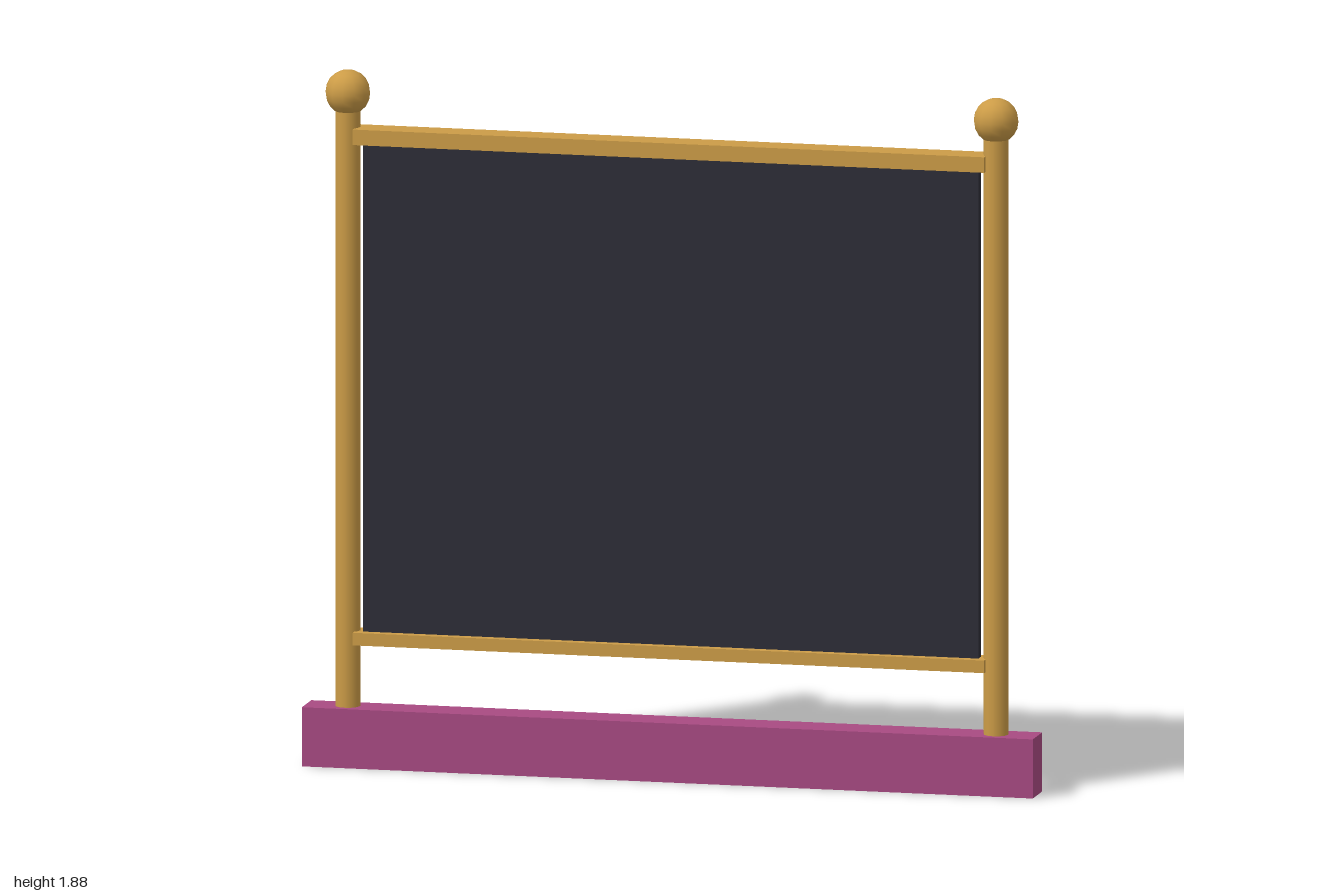
import * as THREE from 'three';

const mat = (name, color) => {
  const m = new THREE.MeshStandardMaterial({ color });
  m.name = name;
  return m;
};

export function createModel() {
  const model = new THREE.Group();
  model.name = 'standingBoard';
  const wood = mat('golden wood', 0xcc9c47);
  const plum = mat('plum', 0xa84a82);
  const slate = mat('dark slate', 0x2d2d37);

  const add = (name, geometry, material, x, y) => {
    const mesh = new THREE.Mesh(geometry, material);
    mesh.name = name;
    mesh.position.set(x, y, 0);
    model.add(mesh);
  };

  // Base plinth
  add('base', new THREE.BoxGeometry(2, 0.16, 0.106), plum, 0, 0.08);

  // Writing panel and the rails that hold it
  add('panel', new THREE.BoxGeometry(1.684, 1.34, 0.03), slate, 0, 1.025);
  add('topRail', new THREE.BoxGeometry(1.728, 0.042, 0.08), wood, 0, 1.706);
  add('bottomRail', new THREE.BoxGeometry(1.728, 0.034, 0.08), wood, 0, 0.348);

  // Round posts with ball finials
  for (const [side, x] of [['left', 0.887], ['right', -0.887]]) {
    add(side + 'Post', new THREE.CylinderGeometry(0.034, 0.034, 1.64, 12), wood, x, 0.97);
    add(side + 'Finial', new THREE.SphereGeometry(0.061, 12, 10), wood, x, 1.82);
  }
  return model;
}
